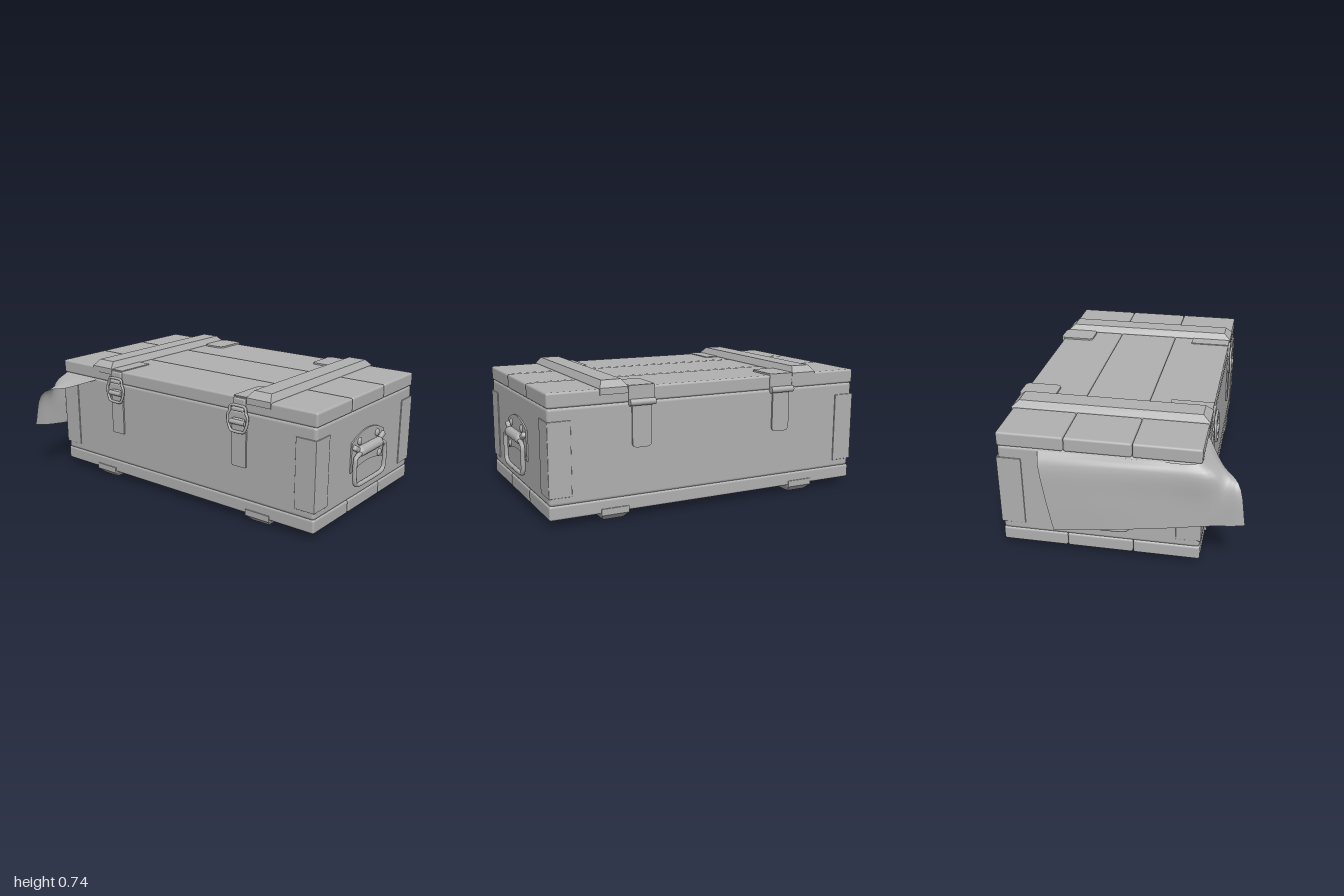
import * as THREE from 'three';
import { RoundedBoxGeometry } from 'three/addons/geometries/RoundedBoxGeometry.js';
import { toCreasedNormals } from 'three/addons/utils/BufferGeometryUtils.js';

const grey = new THREE.MeshStandardMaterial({ color: 0xb0b0b0, side: THREE.DoubleSide });
grey.name = 'plain grey';

const FRONT = 0.435, BACK = -0.63, MID = (FRONT + BACK) / 2, DEPTH = FRONT - BACK;

function add(parent, name, geometry, x = 0, y = 0, z = 0) {
  const mesh = new THREE.Mesh(geometry, grey);
  mesh.name = name;
  mesh.position.set(x, y, z);
  parent.add(mesh);
  return mesh;
}

const box = (w, h, d, r = 0.015) => new RoundedBoxGeometry(w, h, d, 2, r);

// Rounded rectangle in x/y, centred, optionally as a thin plate facing +z
function roundedRect(w, h, r) {
  const s = new THREE.Shape();
  const a = w / 2 - r, b = h / 2 - r;
  s.absarc(a, b, r, 0, Math.PI / 2);
  s.absarc(-a, b, r, Math.PI / 2, Math.PI);
  s.absarc(-a, -b, r, Math.PI, Math.PI * 1.5);
  s.absarc(a, -b, r, Math.PI * 1.5, Math.PI * 2);
  s.closePath();
  return s;
}
const plate = (w, h, r, t) =>
  new THREE.ExtrudeGeometry(roundedRect(w, h, r), { depth: t, bevelEnabled: false, curveSegments: 5 });

const wire = (points, r, closed = true) => new THREE.TubeGeometry(
  new THREE.CatmullRomCurve3(points.map(p => new THREE.Vector3(...p)), closed, 'catmullrom', 0.3), 48, r, 8, closed);

// Slat with bevelled top edges; the box is inset along its upper ring
function slatGeometry() {
  const g = new THREE.BoxGeometry(0.155, 0.07, DEPTH + 0.01, 1, 2, 1);
  const p = g.attributes.position;
  for (let i = 0; i < p.count; i++) {
    if (p.getY(i) > 0.03) {
      p.setX(i, p.getX(i) - Math.sign(p.getX(i)) * 0.022);
      p.setZ(i, p.getZ(i) - Math.sign(p.getZ(i)) * 0.04);
    }
  }
  return toCreasedNormals(g, 0.4);
}

// Carrying handle, built facing +z
function makeHandle() {
  const handle = new THREE.Group();
  handle.name = 'handle';
  const s = new THREE.Shape();
  s.moveTo(-0.18, 0.275);
  s.quadraticCurveTo(0, 0.335, 0.18, 0.275);
  s.lineTo(0.18, 0.445);
  s.quadraticCurveTo(0, 0.545, -0.18, 0.445);
  add(handle, 'handlePlate', new THREE.ExtrudeGeometry(s, { depth: 0.008, bevelEnabled: false }));
  for (const [x, y] of [[-0.1, 0.44], [0.1, 0.44], [-0.14, 0.31], [0.14, 0.31]]) {
    const rivet = add(handle, 'handleRivet', new THREE.SphereGeometry(0.022, 12, 8), x, y, 0.008);
    rivet.scale.z = 0.5;
  }
  const ring = [[-0.11, 0.38], [-0.165, 0.365], [-0.172, 0.34], [-0.168, 0.23], [-0.13, 0.2],
    [0.13, 0.2], [0.168, 0.23], [0.172, 0.34], [0.165, 0.365], [0.11, 0.38]];
  add(handle, 'handleRing', wire(ring.map(([x, y]) => [x, y, 0.027]), 0.013));
  const grip = add(handle, 'handleGrip', new THREE.CapsuleGeometry(0.03, 0.2, 4, 12), 0, 0.385, 0.018);
  grip.rotation.z = Math.PI / 2;
  // Ears that hold the ring
  for (const side of [-1, 1]) {
    const ear = add(handle, 'handleEar', box(0.06, 0.03, 0.03, 0.01), side * 0.145, 0.41, 0.012);
    ear.rotation.z = side * 0.5;
  }
  return handle;
}

// Front latch with strap, wire loop and lid plate
function makeLatch() {
  const latch = new THREE.Group();
  latch.name = 'latch';
  add(latch, 'latchStrap', plate(0.095, 0.26, 0.008, 0.009), 0, 0.44, FRONT);
  add(latch, 'latchLever', box(0.08, 0.07, 0.02, 0.008), 0, 0.55, FRONT + 0.01);
  const loop = [[-0.045, 0.655], [0.045, 0.655], [0.055, 0.62], [0.066, 0.6], [0.062, 0.555],
    [0.04, 0.515], [-0.04, 0.515], [-0.062, 0.555], [-0.066, 0.6], [-0.055, 0.62]];
  add(latch, 'latchLoop', wire(loop.map(([x, y]) => [x, y, FRONT + 0.024 - (y - 0.515) * 0.04]), 0.008));
  const pin = add(latch, 'latchPin', new THREE.CylinderGeometry(0.014, 0.014, 0.1, 10), 0, 0.565, FRONT + 0.02);
  pin.rotation.z = Math.PI / 2;
  add(latch, 'latchCatch', box(0.08, 0.07, 0.018, 0.008), 0, 0.66, FRONT + 0.004);
  add(latch, 'latchHook', box(0.08, 0.022, 0.035, 0.008), 0, 0.637, FRONT + 0.012);
  const top = add(latch, 'latchLidPlate', plate(0.085, 0.235, 0.006, 0.006), 0, 0.699, 0.318);
  top.rotation.x = -Math.PI / 2;
  return latch;
}

// Back hinge with lid leaf, barrel and body leaf
function makeHinge() {
  const hinge = new THREE.Group();
  hinge.name = 'hinge';
  const leaf = add(hinge, 'hingeLidLeaf', plate(0.145, 0.205, 0.025, 0.01), 0, 0.7, -0.542);
  leaf.rotation.x = -Math.PI / 2;
  add(hinge, 'hingeEdge', box(0.145, 0.085, 0.016, 0.006), 0, 0.668, BACK - 0.003);
  const barrel = add(hinge, 'hingeBarrel', new THREE.CylinderGeometry(0.018, 0.018, 0.145, 12), 0, 0.62, -0.645);
  barrel.rotation.z = Math.PI / 2;
  add(hinge, 'hingeBodyLeaf', plate(0.11, 0.24, 0.025, 0.01), 0, 0.5, BACK - 0.01);
  return hinge;
}

// Draped sheet, each row a cross-section from the lid seam to the hem
function clothGeometry() {
  const columns = [
    [[-0.93, 0.615, -0.41], [-0.97, 0.56, -0.4], [-0.985, 0.38, -0.37], [-0.99, 0.18, -0.33]],
    [[-0.93, 0.615, -0.1], [-0.972, 0.58, -0.1], [-0.988, 0.4, -0.1], [-0.99, 0.21, -0.08]],
    [[-0.93, 0.615, 0.2], [-0.965, 0.58, 0.22], [-0.972, 0.42, 0.22], [-0.975, 0.25, 0.25]],
    [[-0.92, 0.62, 0.42], [-0.945, 0.56, 0.5], [-0.955, 0.43, 0.52], [-0.96, 0.285, 0.5]],
    [[-0.8, 0.62, 0.43], [-0.87, 0.57, 0.53], [-0.945, 0.5, 0.6], [-0.965, 0.3, 0.6]],
    [[-0.62, 0.62, 0.43], [-0.8, 0.555, 0.525], [-0.93, 0.52, 0.62], [-0.97, 0.315, 0.66]],
  ];
  const curve = pts => new THREE.CatmullRomCurve3(pts);
  const lines = columns.map(c => curve(c.map(p => new THREE.Vector3(...p))));
  const U = 30, V = 14, positions = [], index = [];
  for (let j = 0; j <= V; j++) {
    const row = curve(lines.map(l => l.getPoint(j / V)));
    for (let i = 0; i <= U; i++) positions.push(...row.getPoint(i / U).toArray());
  }
  for (let j = 0; j < V; j++) for (let i = 0; i < U; i++) {
    const a = j * (U + 1) + i, b = a + U + 1;
    index.push(a, b, a + 1, b, b + 1, a + 1);
  }
  const g = new THREE.BufferGeometry();
  g.setAttribute('position', new THREE.Float32BufferAttribute(positions, 3));
  g.setIndex(index);
  g.computeVertexNormals();
  return g;
}

export function createModel() {
  const model = new THREE.Group();
  model.name = 'crate';
  const chest = new THREE.Group();
  chest.name = 'chest';
  chest.position.x = 0.01;
  model.add(chest);

  add(chest, 'body', box(1.876, 0.51, DEPTH - 0.004, 0.02), 0, 0.37, MID);

  // Three planks each for lid and floor
  const plank = DEPTH / 3;
  for (let i = 0; i < 3; i++) {
    const z = BACK + plank * (i + 0.5);
    add(chest, 'lidPlank', box(1.88, 0.08, plank - 0.002, 0.012), 0, 0.66, z);
    add(chest, 'floorPlank', box(1.88, 0.078, plank - 0.002, 0.012), 0, 0.082, z);
  }

  const slat = slatGeometry();
  for (const side of [-1, 1]) {
    // Cross slats above and below
    add(chest, 'lidSlat', slat, side * 0.583, 0.705, MID);
    add(chest, 'floorSlat', slat, side * 0.583, 0.035, MID).rotation.z = Math.PI;

    // Corner plates on the four upright edges
    for (const z of [FRONT, BACK]) {
      const inward = z > 0 ? -1 : 1;
      add(chest, 'cornerPlateLong', box(0.125, 0.395, 0.008, 0.003), side * 0.88, 0.358, z);
      add(chest, 'cornerPlateEnd', box(0.008, 0.395, 0.13, 0.003), side * 0.939, 0.358, z + inward * 0.063);
    }

    const handle = makeHandle();
    handle.position.set(side * 0.938, 0, -0.1);
    handle.rotation.y = side * Math.PI / 2;
    chest.add(handle);

    const latch = makeLatch();
    latch.position.x = side * 0.46;
    chest.add(latch);

    const hinge = makeHinge();
    hinge.position.x = side * 0.43;
    chest.add(hinge);
  }

  add(model, 'cloth', clothGeometry());
  return model;
}
